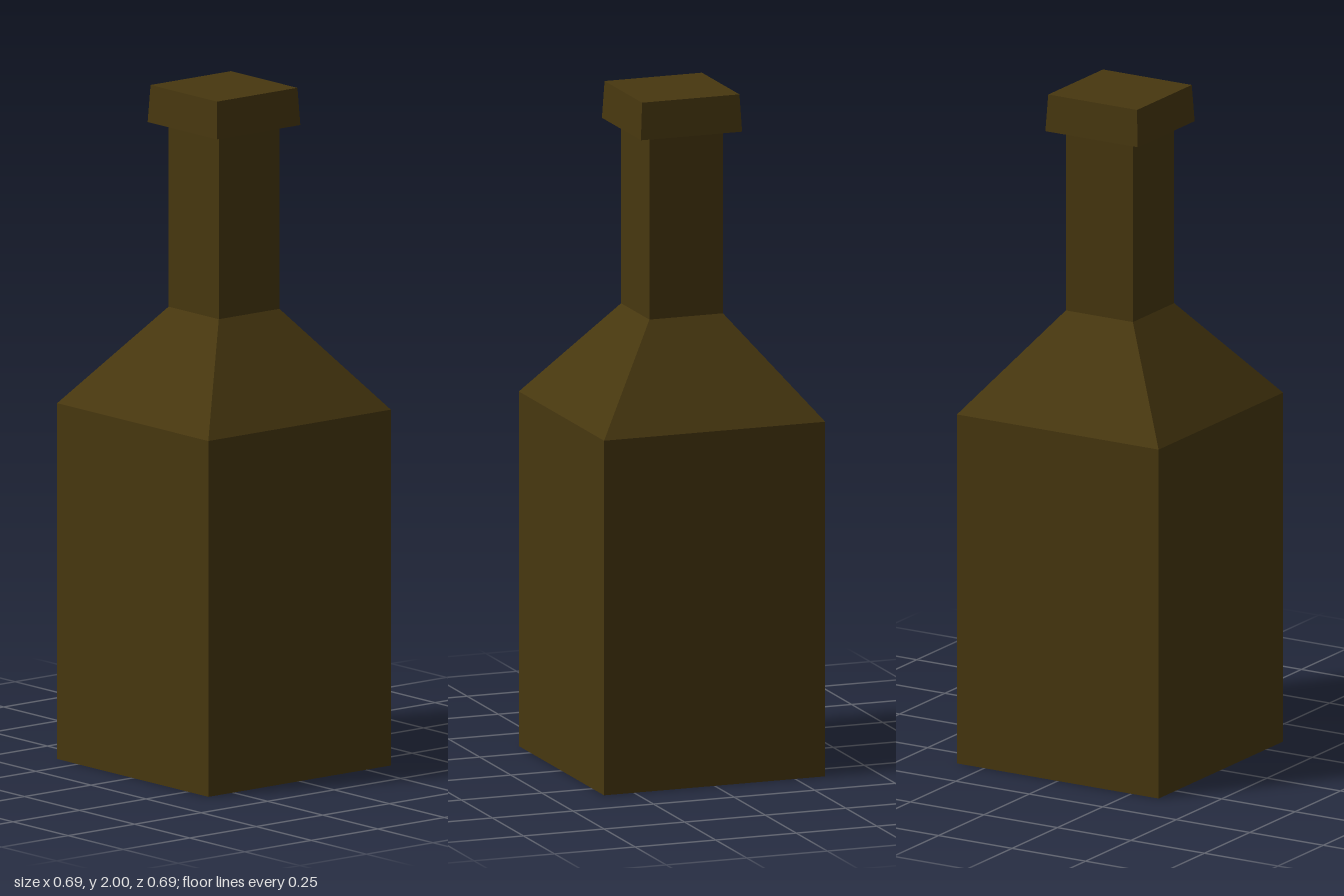
import * as THREE from 'three';

export function createModel() {
  const model = new THREE.Group();
  model.name = 'squareBottle';
  const glass = new THREE.MeshStandardMaterial({ color: 0x47370f, flatShading: true });
  glass.name = 'darkAmberGlass';

  // Four-sided part from [half width, height] pairs, listed from bottom to top
  function addSquarePart(name, profile) {
    const points = profile.map(([half, y]) => new THREE.Vector2(half * Math.SQRT2, y));
    const geometry = new THREE.LatheGeometry(points, 4, Math.PI / 4);
    const mesh = new THREE.Mesh(geometry, glass);
    mesh.name = name;
    model.add(mesh);
  }

  // Closed base and straight walls
  addSquarePart('body', [[0, 0], [0.343, 0], [0.343, 1.053]]);
  // Sloping shoulder
  addSquarePart('shoulder', [[0.343, 1.053], [0.114, 1.345]]);
  // Straight neck
  addSquarePart('neck', [[0.114, 1.345], [0.114, 1.89]]);
  // Overhanging, slightly tapered lip with a closed top
  addSquarePart('lip', [[0.114, 1.89], [0.157, 1.89], [0.151, 2], [0, 2]]);

  return model;
}
